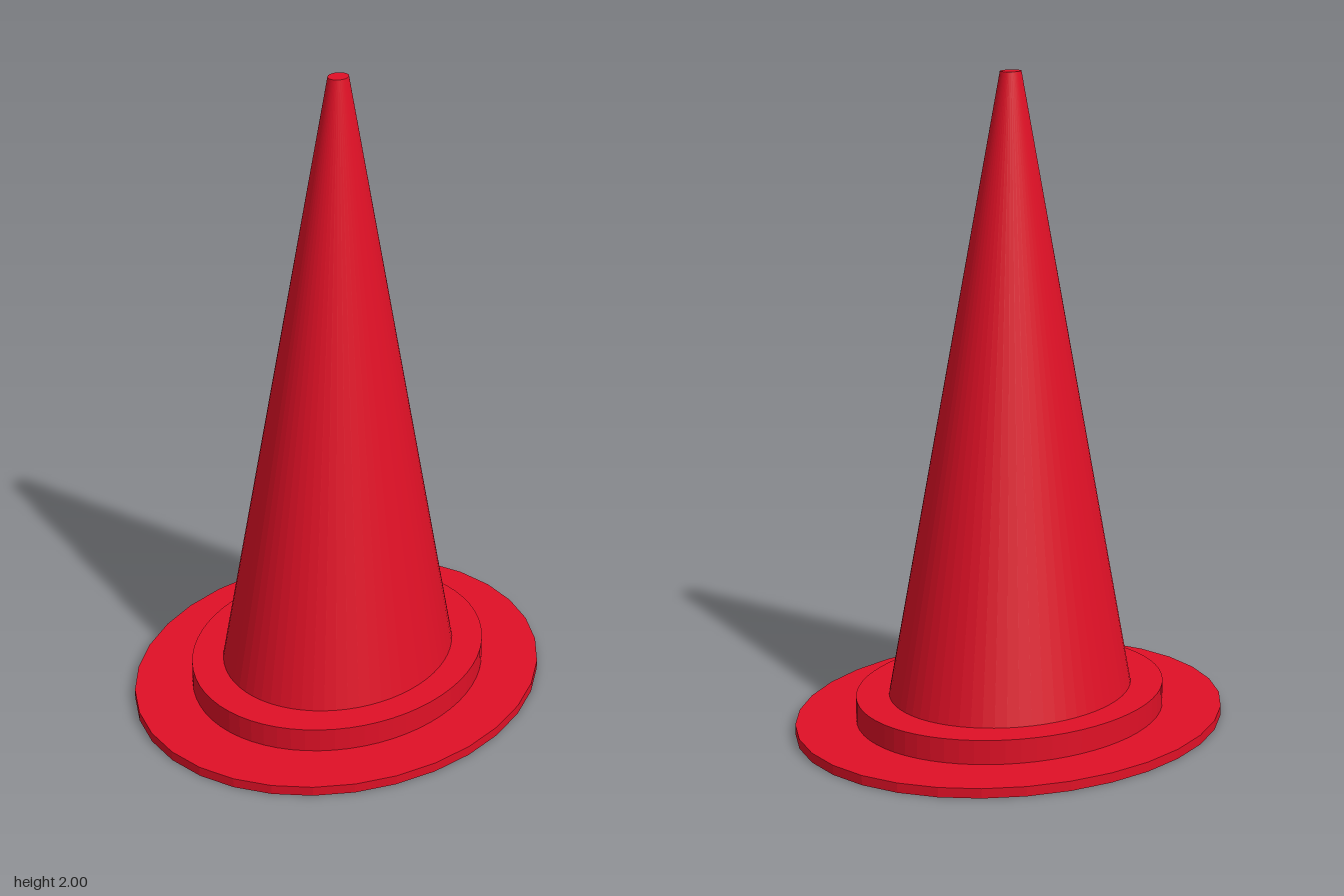
import * as THREE from 'three';

const red = new THREE.MeshStandardMaterial({ color: 0xe01026, flatShading: true });
red.name = 'red';

// Elliptical tapered disc from y0 to y1; rx, rz are the base radii, top is the taper ratio
function ellipticDisc(name, rx, rz, y0, y1, top, sides) {
  const geometry = new THREE.CylinderGeometry(top, 1, y1 - y0, sides);
  geometry.scale(rx, 1, rz);
  geometry.translate(0, (y0 + y1) / 2, 0);
  const mesh = new THREE.Mesh(geometry, red);
  mesh.name = name;
  return mesh;
}

export function createModel() {
  const group = new THREE.Group();
  group.name = 'coneHat';
  group.add(
    ellipticDisc('brim', 0.6, 0.7, 0, 0.03, 1, 32),
    ellipticDisc('band', 0.43, 0.505, 0.03, 0.105, 1, 64),
    ellipticDisc('cone', 0.34, 0.397, 0.105, 2, 0.085, 64),
  );
  return group;
}
